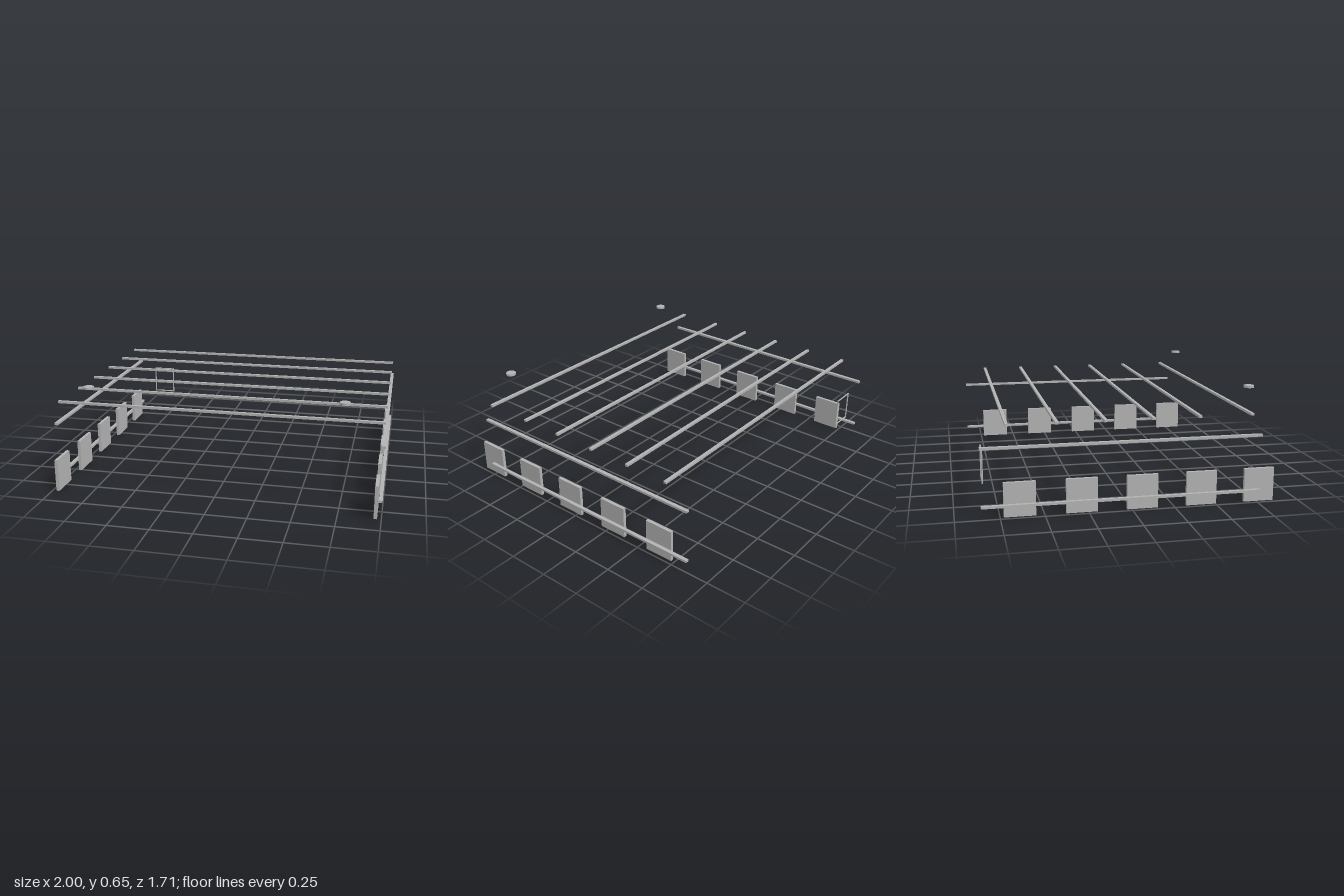
import * as THREE from 'three';

export function createModel() {
  const model = new THREE.Group();
  const grey = new THREE.MeshStandardMaterial({ color: 0xb2b2b2 });
  grey.name = 'grey';

  function add(name, geometry, x, y, z, parent = model) {
    const mesh = new THREE.Mesh(geometry, grey);
    mesh.name = name;
    mesh.position.set(x, y, z);
    parent.add(mesh);
    return mesh;
  }

  // Six roof bars running across the full width
  const barGeometry = new THREE.BoxGeometry(1.986, 0.014, 0.019);
  for (const z of [0.702, 0.391, 0.119, -0.155, -0.429, -0.704]) {
    add('roofBar', barGeometry, 0, 0.527, z);
  }

  // Long rails, panels and lamp discs, mirrored on both sides
  const railGeometry = new THREE.BoxGeometry(0.022, 0.014, 1.622);
  const panelGeometry = new THREE.BoxGeometry(0.02, 0.2, 0.181);
  const discGeometry = new THREE.CylinderGeometry(0.031, 0.031, 0.014, 24);
  for (const [side, label] of [[1, 'left'], [-1, 'right']]) {
    add(label + 'UpperRail', railGeometry, side * 0.989, 0.403, -0.044);
    add(label + 'LowerRail', railGeometry, side * 0.989, 0.07, -0.044);
    for (let i = 0; i < 5; i++) {
      add(label + 'SidePanel', panelGeometry, side * 0.966, 0.1, 0.765 - i * 0.351);
    }
    add(label + 'LampDisc', discGeometry, side * 0.763, 0.648, 0.764);
  }

  // Small open rectangular frame at the rear right
  const frame = new THREE.Group();
  frame.name = 'rearFrame';
  frame.position.set(-0.795, 0.263, -0.836);
  model.add(frame);
  const postGeometry = new THREE.CylinderGeometry(0.0045, 0.0045, 0.191, 10);
  const crossGeometry = new THREE.CylinderGeometry(0.0045, 0.0045, 0.152, 10).rotateZ(Math.PI / 2);
  for (const s of [1, -1]) {
    add('framePost', postGeometry, s * 0.072, 0, 0, frame);
    add('frameCrossbar', crossGeometry, 0, s * 0.091, 0, frame);
  }

  return model;
}
